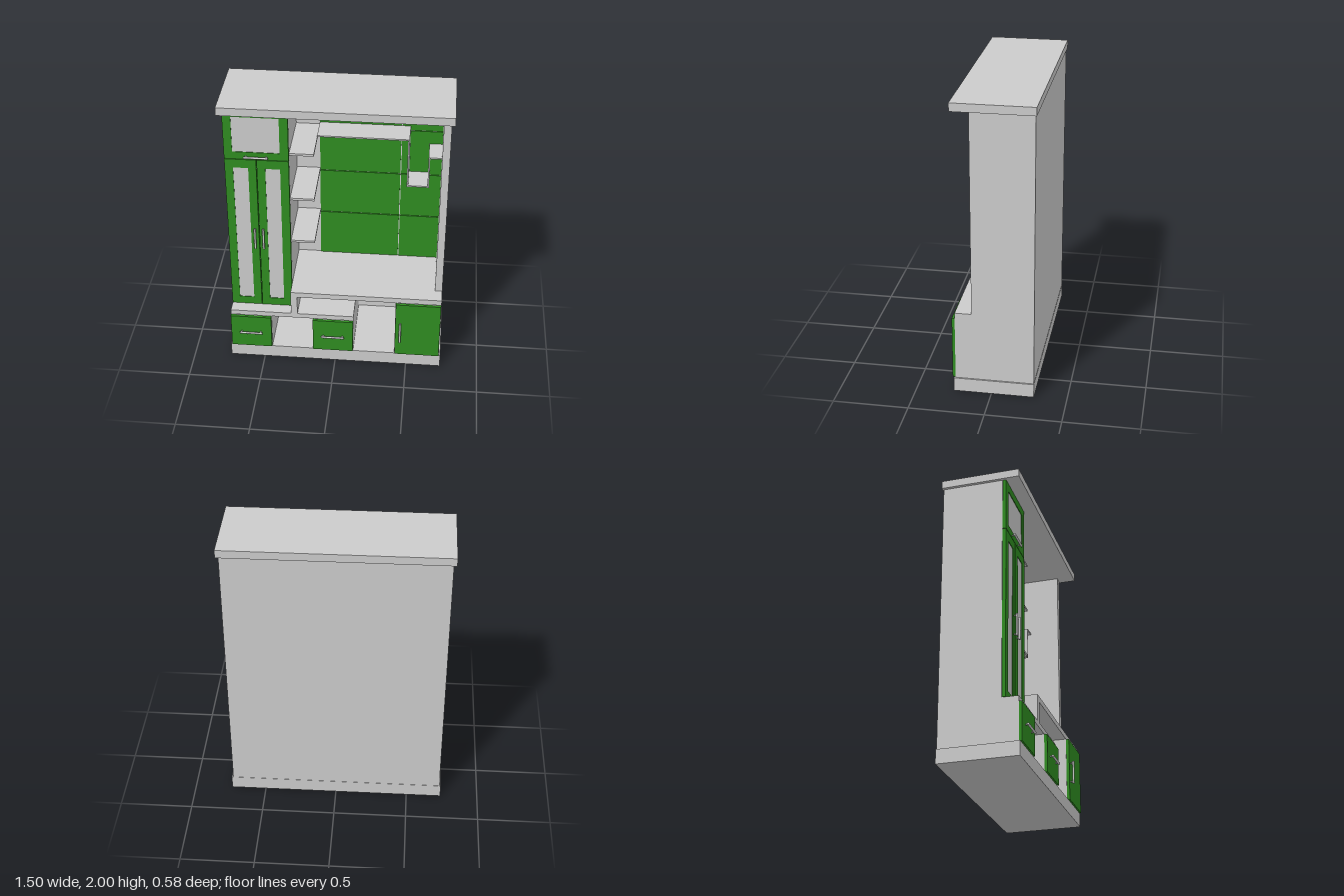
import * as THREE from 'three';

export function createModel() {
  const root = new THREE.Group();
  root.name = 'wallCabinet';
  const grey = new THREE.MeshStandardMaterial({ color: 0xcccccc });
  const green = new THREE.MeshStandardMaterial({ color: 0x2f8c21 });

  const toPoints = list => list.map(([x, y]) => new THREE.Vector2(x, y));

  // Box given by its extents on each axis
  function box(name, x0, x1, y0, y1, z0, z1, mat = grey) {
    const m = new THREE.Mesh(new THREE.BoxGeometry(x1 - x0, y1 - y0, z1 - z0), mat);
    m.position.set((x0 + x1) / 2, (y0 + y1) / 2, (z0 + z1) / 2);
    m.name = name;
    root.add(m);
  }

  // Outline in the xy plane given depth from z0 to z1
  function extrude(name, shape, z0, z1, mat) {
    const m = new THREE.Mesh(new THREE.ExtrudeGeometry(shape, { depth: z1 - z0, bevelEnabled: false }), mat);
    m.position.z = z0;
    m.name = name;
    root.add(m);
  }

  // Door with one rectangular opening [x0, x1, y0, y1] filled by an inset panel
  function framedDoor(name, x0, x1, y0, y1, z0, z1, [a, b, c, d]) {
    const shape = new THREE.Shape(toPoints([[x0, y0], [x1, y0], [x1, y1], [x0, y1]]));
    shape.holes.push(new THREE.Path(toPoints([[a, c], [a, d], [b, d], [b, c]])));
    extrude(name, shape, z0, z1, green);
    box(name + 'Inset', a, b, c, d, z0, z1 - 0.004);
  }

  // Bar handle on two posts
  function handle(name, x, y, z, vertical) {
    const length = 0.158;
    const g = new THREE.Group();
    g.name = name;
    const bar = new THREE.Mesh(new THREE.CylinderGeometry(0.0075, 0.0075, length, 12), grey);
    bar.position.z = 0.02;
    g.add(bar);
    for (const s of [-1, 1]) {
      const post = new THREE.Mesh(new THREE.CylinderGeometry(0.005, 0.005, 0.02, 10), grey);
      post.rotation.x = Math.PI / 2;
      post.position.set(0, s * (length / 2 - 0.012), 0.01);
      g.add(post);
    }
    if (!vertical) g.rotation.z = Math.PI / 2;
    g.position.set(x, y, z);
    root.add(g);
  }

  const back = -0.28, inner = -0.27, upper = 0.13, lower = 0.24;

  // Carcass
  box('plinth', -0.74, 0.74, 0, 0.095, -0.282, 0.25);
  box('cornice', -0.75, 0.75, 1.945, 2, -0.288, 0.248);
  box('backPanel', -0.73, 0.73, 0.095, 1.945, back, inner);
  box('leftSide', -0.73, -0.71, 0.39, 1.945, inner, upper);
  box('leftBaseSide', -0.73, -0.71, 0.095, 0.355, inner, lower);
  box('rightSide', 0.68, 0.73, 0.572, 1.945, inner, upper);
  box('rightBaseSide', 0.71, 0.73, 0.095, 0.533, inner, lower);
  box('wardrobeSide', -0.325, -0.308, 0.39, 1.945, inner, upper);

  // Base counters and partitions
  box('counter', -0.308, 0.73, 0.533, 0.572, inner, lower);
  box('lowCounter', -0.73, 0.127, 0.355, 0.39, inner, lower);
  box('counterSupport', -0.308, -0.263, 0.39, 0.533, inner, lower);
  box('nicheBack', -0.263, 0.132, 0.39, 0.533, inner, -0.265);
  for (const x of [-0.462, -0.155, 0.11]) box('partition', x, x + 0.017, 0.095, 0.355, inner, lower);
  box('doorPartition', 0.417, 0.434, 0.095, 0.533, inner, lower);

  // Drawers and base door
  for (const [x0, x1] of [[-0.73, -0.447], [-0.155, 0.125]]) {
    box('drawerFront', x0, x1, 0.097, 0.353, lower, 0.26, green);
    handle('drawerHandle', (x0 + x1) / 2, 0.225, 0.26, false);
  }
  box('baseDoor', 0.419, 0.728, 0.097, 0.531, lower, 0.26, green);
  handle('baseDoorHandle', 0.453, 0.3, 0.26, true);

  // Wardrobe doors with inset panels
  const z0 = upper + 0.002, z1 = 0.155;
  framedDoor('leftDoor', -0.73, -0.522, 0.392, 1.573, z0, z1, [-0.675, -0.575, 0.45, 1.51]);
  framedDoor('rightDoor', -0.518, -0.308, 0.392, 1.573, z0, z1, [-0.463, -0.365, 0.45, 1.51]);
  framedDoor('topDoor', -0.73, -0.308, 1.577, 1.944, z0, z1, [-0.675, -0.365, 1.63, 1.887]);
  for (const x of [-0.547, -0.49]) handle('wardrobeHandle', x, 0.963, z1, true);
  handle('topDoorHandle', -0.52, 1.6, z1, false);

  // Green wall panels separated by narrow grooves
  const cols = [-0.147, 0.405, 0.68], rows = [0.572, 0.92, 1.262, 1.606, 1.945], gap = 0.003;
  for (let c = 0; c < 2; c++) {
    for (let r = 0; r < 4; r++) {
      box('wallPanel', cols[c] + (c ? gap : 0), cols[c + 1] - (c ? 0 : gap),
        rows[r] + (r ? gap : 0), rows[r + 1] - (r < 3 ? gap : 0), inner, -0.262, green);
    }
  }

  // Side shelves
  for (const y of [0.92, 1.26, 1.605]) box('sideShelf', -0.308, -0.147, y, y + 0.016, inner, upper);

  // Stepped wall shelf
  const t = 0.01;
  const steps = new THREE.Shape(toPoints([
    [-0.147, 1.64], [0.463, 1.64], [0.463, 1.285], [0.592, 1.285], [0.592, 1.51], [0.68, 1.51],
    [0.68, 1.51 - t], [0.592 + t, 1.51 - t], [0.592 + t, 1.285 - t], [0.463 - t, 1.285 - t],
    [0.463 - t, 1.64 - t], [-0.147, 1.64 - t],
  ]));
  extrude('steppedShelf', steps, -0.265, -0.08, grey);

  return root;
}
